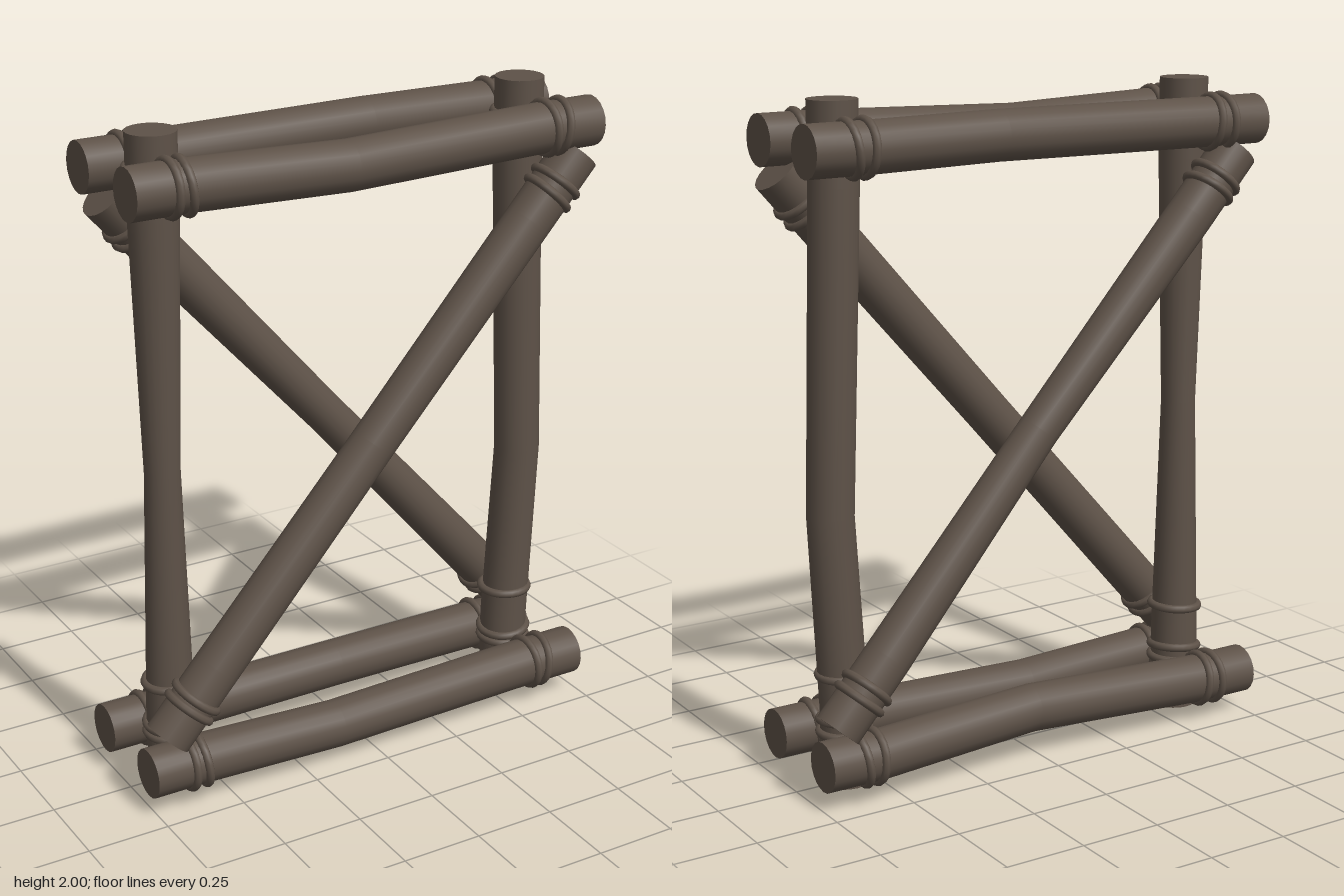
import * as THREE from 'three';
import { toCreasedNormals } from 'three/addons/utils/BufferGeometryUtils.js';

const UP = new THREE.Vector3(0, 1, 0);

export function createModel() {
  const group = new THREE.Group();
  const wood = new THREE.MeshStandardMaterial({ color: 0x5e5248 });
  wood.name = 'weathered brown';

  // A log from a to b that bends by `bend` and changes to radius `midR` at fraction `mid`;
  // `ties` lists [fraction, tiltA, tiltB] for each rope ring.
  function addLog(name, a, b, { r = 0.075, midR = r, mid = 0.5, bend = [0, 0, 0], ties = [], ropeR = r + 0.001 }) {
    const part = new THREE.Group();
    part.name = name;
    const start = new THREE.Vector3(...a), end = new THREE.Vector3(...b);
    const span = end.clone().sub(start), length = span.length();
    const turn = new THREE.Quaternion().setFromUnitVectors(UP, span.clone().normalize());
    const sag = new THREE.Vector3(...bend);
    const stations = [[0, 0], [0.12, 0], [mid, 1], [0.88, 0], [1, 0]];

    const geo = new THREE.CylinderGeometry(1, 1, 1, 20, stations.length - 1);
    const pos = geo.attributes.position, v = new THREE.Vector3();
    for (let i = 0; i < pos.count; i++) {
      v.fromBufferAttribute(pos, i);
      const [t, w] = stations[Math.round((v.y + 0.5) * (stations.length - 1))];
      const radius = r + (midR - r) * w;
      v.set(v.x * radius, t * length, v.z * radius).applyQuaternion(turn);
      v.add(start).addScaledVector(sag, w);
      pos.setXYZ(i, v.x, v.y, v.z);
    }
    const log = new THREE.Mesh(toCreasedNormals(geo, 0.7), wood);
    log.name = 'log';
    part.add(log);

    // Rope rings wound round the log
    for (const [t, tiltA = 0, tiltB = 0] of ties) {
      const ring = new THREE.TorusGeometry(ropeR, 0.013, 8, 24);
      ring.rotateX(Math.PI / 2 + tiltA);
      ring.rotateZ(tiltB);
      const rope = new THREE.Mesh(ring, wood);
      rope.name = 'ropeRing';
      rope.quaternion.copy(turn);
      rope.position.copy(start).addScaledVector(span, t);
      part.add(rope);
    }
    group.add(part);
  }

  // Upright posts
  addLog('rightPost', [-0.61, 0, 0], [-0.61, 2, 0],
    { r: 0.073, midR: 0.053, ties: [[0.08], [0.097, 0.08, 0.1], [0.165, 0, 0.06], [0.93], [0.947, 0.05]] });
  addLog('leftPost', [0.588, 0, 0], [0.588, 2, 0],
    { r: 0.073, midR: 0.07, mid: 0.41, bend: [0.032, 0, 0], ties: [[0.08], [0.097, 0.08, 0.1], [0.168], [0.93], [0.947, 0.05]] });

  // Horizontal rails, in front of and behind the posts
  const railTies = (x0, x1, xs) => xs.map(([x, a = 0, b = 0]) => [(x - x0) / (x1 - x0), a, b]);
  const rails = [
    ['topFrontRail', 1.88, 0.15, 0.74, 0.45, [0, -0.017, 0.003], 0.074],
    ['topBackRail', 1.88, -0.152, 0.755, 0.6, [0, 0.006, 0], 0.074],
    ['bottomFrontRail', 0.128, 0.15, 0.74, 0.42, [0, -0.018, 0], 0.073],
    ['bottomBackRail', 0.128, -0.152, 0.74, 0.52, [0, 0.02, 0.028], 0.073],
  ];
  for (const [name, y, z, x1, mid, bend, midR] of rails) {
    const ties = railTies(-0.76, x1, [[-0.635], [-0.59, 0.08, 0.1], [0.575, 0, 0.03], [0.62, 0.08, -0.12]]);
    addLog(name, [-0.76, y, z], [x1, y, z], { midR, mid, bend, ties });
  }

  // Crossed braces
  const braceTies = [[0.052], [0.07, 0.08, 0.05], [0.93, 0.05, -0.05], [0.95]];
  addLog('frontBrace', [-0.695, 0.23, 0.152], [0.69, 1.79, 0.152],
    { r: 0.071, midR: 0.068, ties: braceTies });
  addLog('backBrace', [0.69, 0.23, -0.15], [-0.69, 1.79, -0.15],
    { r: 0.071, midR: 0.062, bend: [0, 0, 0.018], ties: braceTies });

  return group;
}
